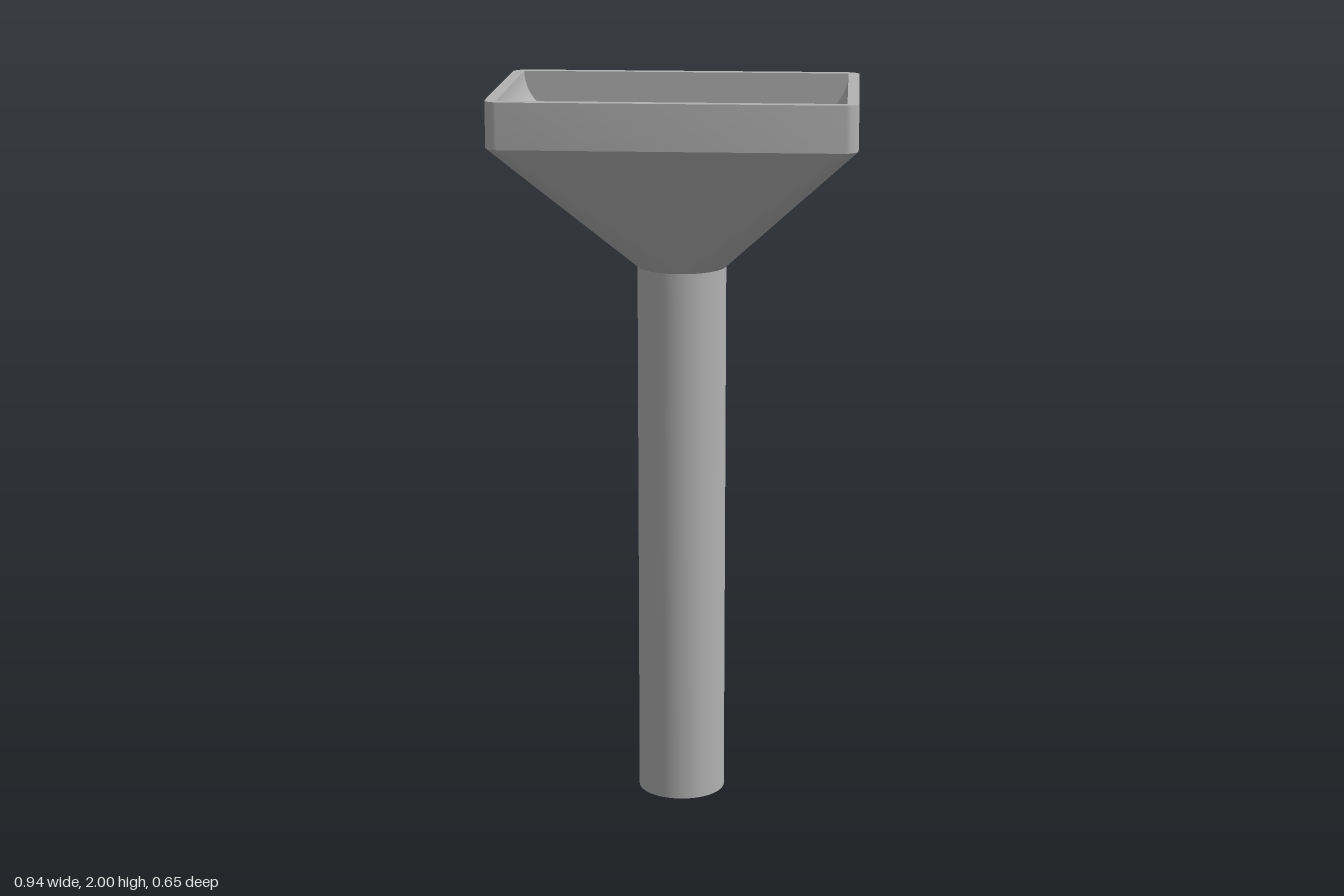
import * as THREE from 'three';
import { toCreasedNormals } from 'three/addons/utils/BufferGeometryUtils.js';

const PIPE_Z = -0.135, PIPE_R = 0.12, BORE_R = 0.069;
const HALF_X = 0.47, HALF_Z = 0.324, CORNER = 0.04;
const IN_X = 0.44, IN_Z = 0.294, RIM_Y = 1.88, TOP_Y = 2, DEPTH = TOP_Y - RIM_Y;

// Four corner arcs of radius r whose centres lie at (+-cx, +-cz + oz)
function ring(r, cx, cz, oz, y, steps = 16) {
  const pts = [];
  for (let k = 0; k < 4; k++) {
    const sx = k === 0 || k === 3 ? 1 : -1, sz = k < 2 ? 1 : -1;
    for (let i = 0; i <= steps; i++) {
      const a = (k + i / steps) * Math.PI / 2;
      pts.push(new THREE.Vector3(sx * cx + r * Math.cos(a), y, sz * cz + oz + r * Math.sin(a)));
    }
  }
  return pts;
}

// Skin between a lower and an upper ring
function loft(low, high) {
  const n = low.length, index = [];
  for (let i = 0; i < n; i++) {
    const j = (i + 1) % n;
    index.push(i, n + i, n + j);
    if (low[i].distanceTo(low[j]) > 1e-6) index.push(i, n + j, j);
  }
  const g = new THREE.BufferGeometry().setFromPoints([...low, ...high]);
  g.setIndex(index);
  g.computeVertexNormals();
  return g;
}

function rectPath(path, x, z) {
  path.moveTo(-x, -z);
  path.lineTo(x, -z);
  path.lineTo(x, z);
  path.lineTo(-x, z);
  path.closePath();
  return path;
}

export function createModel() {
  const model = new THREE.Group();
  const grey = new THREE.MeshStandardMaterial({ color: 0xb2b2b2, side: THREE.DoubleSide });
  grey.name = 'grey ceramic';
  const add = (name, geometry) => {
    const mesh = new THREE.Mesh(geometry, grey);
    mesh.name = name;
    model.add(mesh);
    return mesh;
  };

  // Hollow pedestal, with its bore running up to the drain
  const profile = [[BORE_R, RIM_Y], [BORE_R, 0], [PIPE_R, 0], [PIPE_R, 1.5]]
    .map(([x, y]) => new THREE.Vector2(x, y));
  add('pedestal', toCreasedNormals(new THREE.LatheGeometry(profile, 64), 0.6)).position.z = PIPE_Z;

  // Funnel from the round pedestal to the rectangular basin
  add('funnel', loft(
    ring(PIPE_R, 0, 0, PIPE_Z, 1.5),
    ring(CORNER, HALF_X - CORNER, HALF_Z - CORNER, 0, RIM_Y)));

  // Basin wall with rounded outer corners
  const outline = ring(CORNER, HALF_X - CORNER, HALF_Z - CORNER, 0, 0, 8);
  const wall = new THREE.Shape(outline.map(p => new THREE.Vector2(p.x, p.z)));
  wall.holes.push(rectPath(new THREE.Path(), IN_X, IN_Z));
  const wallGeometry = new THREE.ExtrudeGeometry(wall, { depth: DEPTH, bevelEnabled: false });
  wallGeometry.rotateX(-Math.PI / 2).translate(0, RIM_Y, 0);
  add('basinWall', toCreasedNormals(wallGeometry, 0.6));

  // Flat floor with the drain hole
  const floor = rectPath(new THREE.Shape(), IN_X - DEPTH, IN_Z);
  floor.holes.push(new THREE.Path().absarc(0, -PIPE_Z, BORE_R, 0, Math.PI * 2, true));
  const floorGeometry = new THREE.ShapeGeometry(floor, 32);
  floorGeometry.rotateX(-Math.PI / 2).translate(0, RIM_Y, 0);
  add('basinFloor', floorGeometry);

  // Curved ends sweeping from the floor up to the rim
  for (const side of [1, -1]) {
    const pts = [];
    for (let i = 0; i <= 16; i++) {
      const a = i / 16 * Math.PI / 2;
      const x = side * (IN_X - DEPTH + DEPTH * Math.sin(a)), y = TOP_Y - DEPTH * Math.cos(a);
      pts.push(new THREE.Vector3(x, y, side * IN_Z), new THREE.Vector3(x, y, -side * IN_Z));
    }
    const index = [];
    for (let i = 0; i < 32; i += 2) index.push(i, i + 2, i + 1, i + 1, i + 2, i + 3);
    const g = new THREE.BufferGeometry().setFromPoints(pts);
    g.setIndex(index);
    g.computeVertexNormals();
    add(side > 0 ? 'leftBasinCurve' : 'rightBasinCurve', g);
  }
  return model;
}
